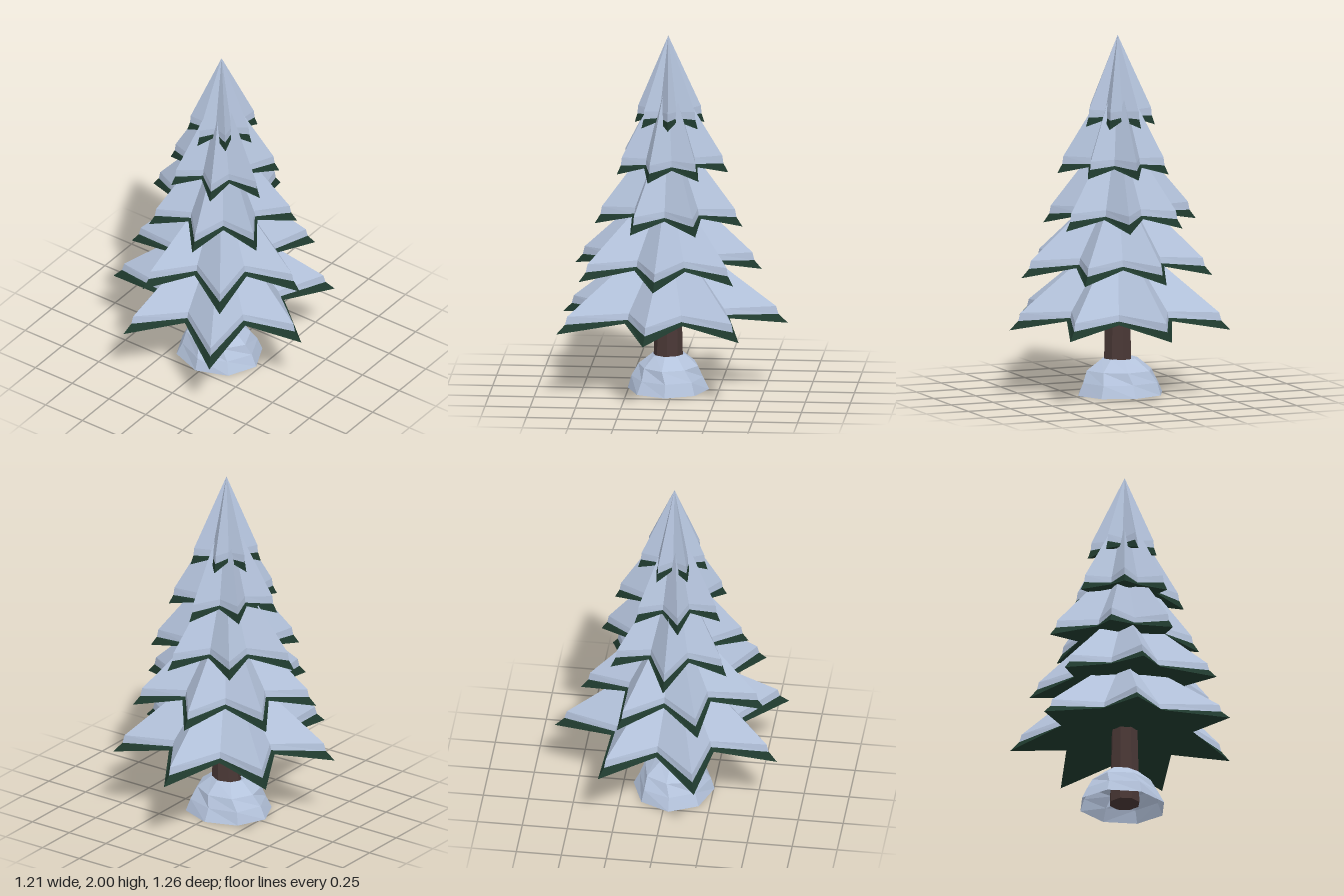
import * as THREE from 'three';

const POINTS = 7;
const AXIS_X = -0.005, AXIS_Z = 0.03;

// Facetted surface through closed rings listed from top to bottom; a ring of one point closes the end.
function loft(rings) {
  const n = Math.max(...rings.map((r) => r.length));
  const pos = [];
  const at = (ring, i) => ring[ring.length === 1 ? 0 : i % n];
  for (let k = 0; k < rings.length - 1; k++) {
    const u = rings[k], l = rings[k + 1];
    for (let i = 0; i < n; i++) {
      if (u.length > 1) pos.push(...at(u, i), ...at(u, i + 1), ...at(l, i));
      if (l.length > 1) pos.push(...at(u, i + 1), ...at(l, i + 1), ...at(l, i));
    }
  }
  const g = new THREE.BufferGeometry();
  g.setAttribute('position', new THREE.Float32BufferAttribute(pos, 3));
  g.computeVertexNormals();
  return g;
}

// Star outline alternating branch tips and the valleys between them.
function star(tier, tipScale, valleyScale, tipY, valleyY) {
  const ring = [];
  for (let i = 0; i < POINTS * 2; i++) {
    const tip = i % 2 === 0, k = i >> 1;
    const a = THREE.MathUtils.degToRad(tier.phase) + (i * Math.PI) / POINTS;
    const next = tier.radii[(k + 1) % POINTS];
    const r = tip ? tier.radii[k] * tipScale : (tier.radii[k] + next) * 0.5 * valleyScale;
    ring.push([r * Math.cos(a), tip ? tipY : valleyY, r * Math.sin(a)]);
  }
  return ring;
}

// Each layer: branch radii, rotation, drooping tip height, valley height, apex height
const TIERS = [
  { phase: 8.4, radii: [0.614, 0.684, 0.644, 0.629, 0.635, 0.66, 0.628], tip: 0.375, valley: 0.45, apex: 0.93 },
  { phase: 3.8, radii: [0.56, 0.57, 0.55, 0.51, 0.526, 0.517, 0.527], tip: 0.67, valley: 0.745, apex: 1.22 },
  { phase: 26, radii: [0.41, 0.41, 0.415, 0.465, 0.41, 0.43, 0.424], tip: 0.95, valley: 1.015, apex: 1.53 },
  { phase: 15, radii: [0.335, 0.3, 0.31, 0.31, 0.296, 0.333, 0.318], tip: 1.235, valley: 1.29, apex: 1.82 },
  { phase: -4, radii: [0.195, 0.187, 0.19, 0.19, 0.205, 0.204, 0.21], tip: 1.5, valley: 1.55, apex: 2.0 },
];

export function createModel() {
  const group = new THREE.Group();
  const snow = new THREE.MeshStandardMaterial({ color: 0xb4c3dc, flatShading: true, side: THREE.DoubleSide });
  snow.name = 'snow';
  const needles = new THREE.MeshStandardMaterial({ color: 0x1f3a2e, flatShading: true });
  needles.name = 'needleGreen';
  const bark = new THREE.MeshStandardMaterial({ color: 0x4a3836, flatShading: true });
  bark.name = 'bark';

  const add = (name, geometry, material, parent = group) => {
    const m = new THREE.Mesh(geometry, material);
    m.name = name;
    parent.add(m);
    return m;
  };

  // Branch layers: green star below, snow cap above
  TIERS.forEach((t, i) => {
    const tier = new THREE.Group();
    tier.name = `branchLayer${i + 1}`;
    tier.position.set(AXIS_X, 0, AXIS_Z);
    group.add(tier);

    const skirt = star(t, 0.92, 0.545, t.tip + 0.05, t.valley + 0.005);
    const rim = star(t, 0.9, 0.53, t.tip + 0.095, t.valley + 0.04);
    const edge = star(t, 1, 0.585, t.tip, t.valley - 0.012);

    add('snowCap', loft([[[0, t.apex, 0]], rim, skirt]), snow, tier);
    add('greenBranches', loft([skirt, edge, [[0, t.valley + 0.015, 0]]]), needles, tier);
  });

  // Trunk, slightly tapered
  const trunk = add('trunk', new THREE.CylinderGeometry(0.072, 0.085, 0.52, 8), bark);
  trunk.position.set(-0.005, 0.28, 0.03);

  // Snow mound around the foot, open underneath
  const profile = [[0.075, 0.185], [0.1, 0.2], [0.185, 0.135], [0.22, 0.07], [0.25, 0]];
  const mound = profile.map(([r, y], k) => Array.from({ length: 8 }, (_, i) => {
    const a = ((i + (k > 2 ? 0 : 0.15)) * Math.PI) / 4;
    const wobble = 1 + 0.04 * Math.sin(i * 2.3 + k) * (k < 4 ? 1 : 0);
    return [r * wobble * Math.cos(a), y, r * wobble * Math.sin(a) * 0.9];
  }));
  add('snowMound', loft(mound), snow).position.set(-0.02, 0, 0.03);

  return group;
}
